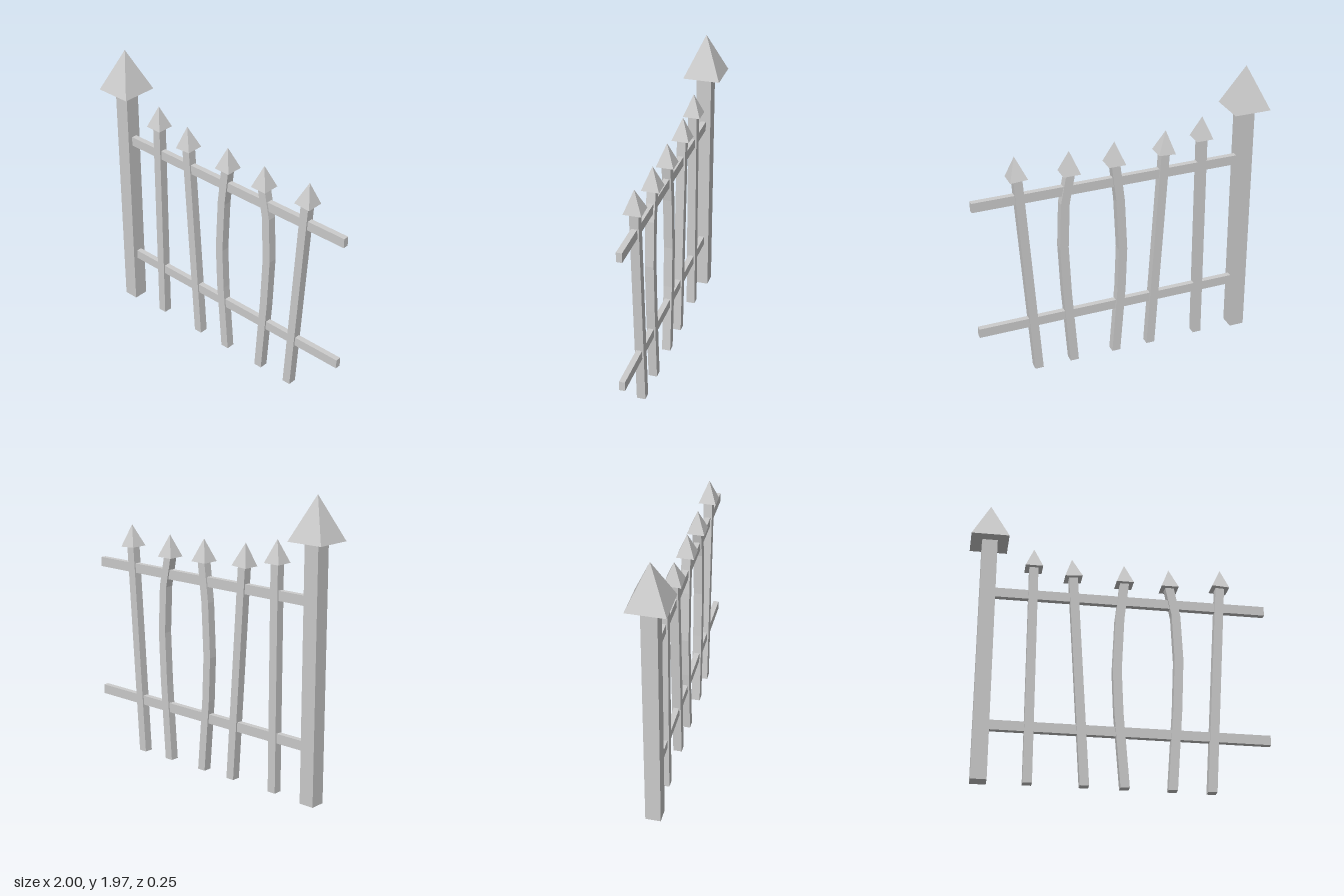
import * as THREE from 'three';

const material = new THREE.MeshStandardMaterial({ color: 0xcccccc, flatShading: true });

function addBox(parent, name, w, h, d, x, y) {
  const mesh = new THREE.Mesh(new THREE.BoxGeometry(w, h, d), material);
  mesh.name = name;
  mesh.position.set(x, y, 0);
  parent.add(mesh);
}

// Four-sided spike whose base centre sits at (x, y), leaning by tilt
function addSpike(parent, name, half, height, x, y, tilt = 0) {
  const geometry = new THREE.ConeGeometry(half * Math.SQRT2, height, 4);
  geometry.rotateY(Math.PI / 4).translate(0, height / 2, 0);
  const mesh = new THREE.Mesh(geometry, material);
  mesh.name = name;
  mesh.position.set(x, y, 0);
  mesh.rotation.z = tilt;
  parent.add(mesh);
}

// Square bar whose rings follow a list of [x, y] points
function barGeometry(path, width) {
  const segments = path.length - 1;
  const geometry = new THREE.BoxGeometry(width, 1, width, 1, segments, 1);
  const pos = geometry.attributes.position;
  for (let i = 0; i < pos.count; i++) {
    const [x, y] = path[Math.round((pos.getY(i) + 0.5) * segments)];
    pos.setXY(i, pos.getX(i) + x, y);
  }
  geometry.computeVertexNormals();
  return geometry;
}

export function createModel() {
  const model = new THREE.Group();
  model.name = 'fence';

  // Tall end post with its large pyramid cap
  addBox(model, 'post', 0.103, 1.68, 0.103, -0.872, 0.84);
  addSpike(model, 'postCap', 0.126, 0.285, -0.873, 1.68);

  // Horizontal rails
  addBox(model, 'lowerRail', 1.822, 0.065, 0.038, 0.089, 0.373);
  addBox(model, 'upperRail', 1.822, 0.065, 0.038, 0.089, 1.307);

  // Pickets: straight, leaning and bowed
  const pickets = [
    { path: [[-0.57, 0], [-0.57, 1.508]], tilt: 0 },
    { path: [[-0.214, 0], [-0.304, 1.453]], tilt: 0.063 },
    { path: [[0.042, 0], [0.003, 0.5], [-0.008, 0.8], [0.01, 1.17], [0.042, 1.436]], tilt: 0 },
    { path: [[0.348, 0], [0.388, 0.55], [0.403, 0.9], [0.389, 1.22], [0.348, 1.426]], tilt: 0 },
    { path: [[0.602, 0], [0.697, 1.453]], tilt: -0.065 },
  ];
  for (const { path, tilt } of pickets) {
    const picket = new THREE.Group();
    picket.name = 'picket';
    const bar = new THREE.Mesh(barGeometry(path, 0.059), material);
    bar.name = 'picketBar';
    picket.add(bar);
    const [x, y] = path[path.length - 1];
    addSpike(picket, 'picketSpike', 0.0585, 0.15, x, y, tilt);
    model.add(picket);
  }
  return model;
}
